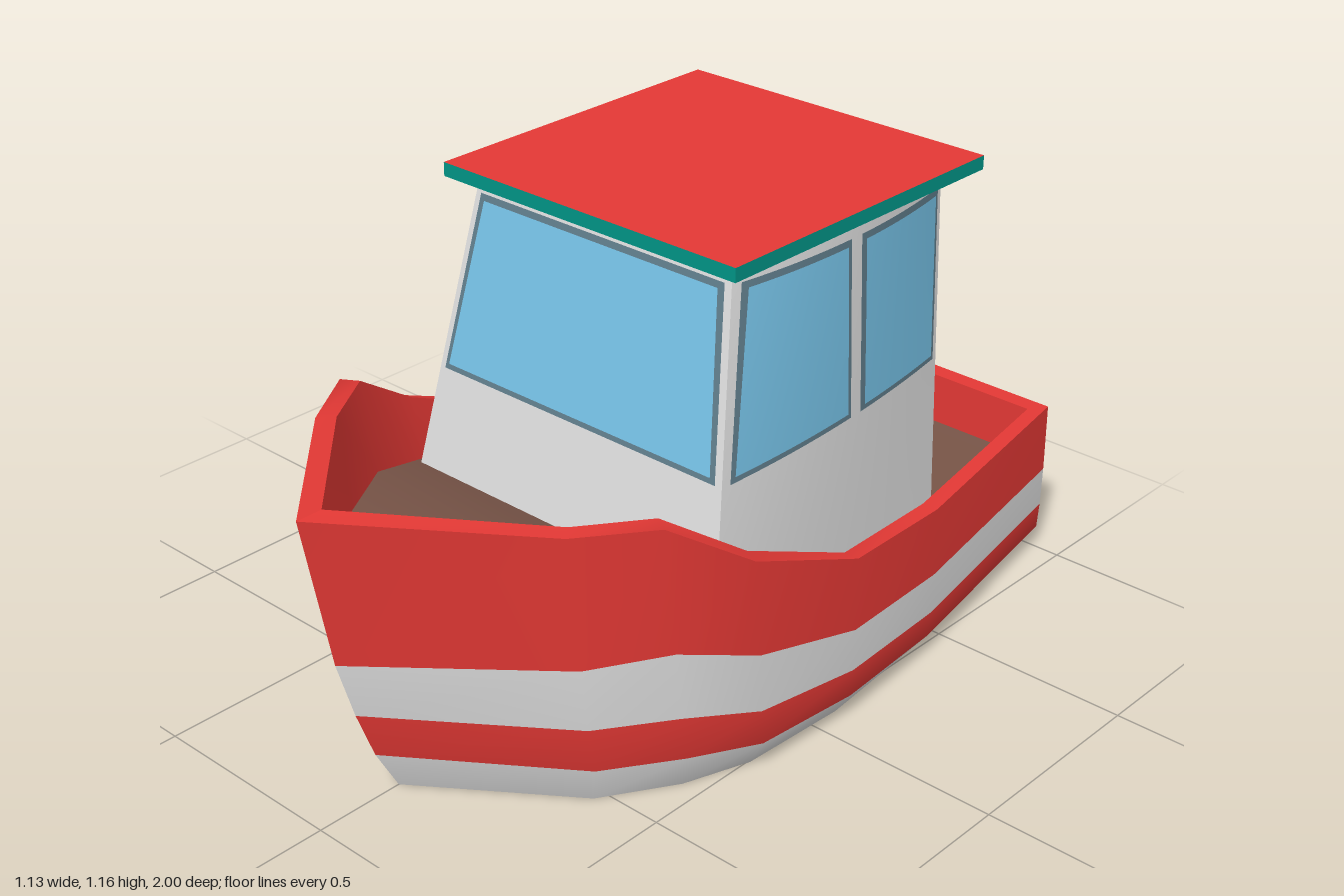
import * as THREE from 'three';

const paint = (name, color) => Object.assign(new THREE.MeshStandardMaterial({ color }), { name });

export function createModel() {
  const model = new THREE.Group();
  model.name = 'fishingBoat';
  const red = paint('hull red', 0xe53935);
  const white = paint('cabin white', 0xdedede);
  const teal = paint('roof edge teal', 0x009688);
  const glass = paint('window glass', 0x78c5ea);
  const trim = paint('window frame', 0x607d8b);
  const wood = paint('deck brown', 0x795548);

  // Surface through rows of points; one material group per strip between rows
  function grid(rows, flip = false) {
    const n = rows[0].length, index = [];
    const geo = new THREE.BufferGeometry();
    geo.setAttribute('position', new THREE.Float32BufferAttribute(rows.flat(2), 3));
    for (let i = 0; i < rows.length - 1; i++) {
      geo.addGroup(index.length, (n - 1) * 6, i);
      for (let j = 0; j < n - 1; j++) {
        const a = i * n + j, b = a + 1, c = a + n, d = c + 1;
        index.push(...(flip ? [a, d, b, a, c, d] : [a, b, d, a, d, c]));
      }
    }
    geo.setIndex(index);
    geo.computeVertexNormals();
    return geo;
  }
  function add(name, geo, material, parent = model) {
    const mesh = new THREE.Mesh(geo, material);
    mesh.name = name;
    parent.add(mesh);
    return mesh;
  }
  const mirror = row => row.map(([x, y, z]) => [-x, y, z]);
  const across = row => [[-row[0][0], row[0][1], row[0][2]], row[0]];

  // Hull stations, stern to bow: top z, half width, height; bottom z, half width;
  // share of the height where the upper red band ends
  const stations = [
    [-1, 0.435, 0.40, -1, 0.39, 0.565],
    [-0.4, 0.54, 0.40, -0.4, 0.48, 0.57],
    [-0.08, 0.563, 0.42, -0.08, 0.52, 0.565],
    [0.26, 0.557, 0.56, 0.2, 0.505, 0.575],
    [0.47, 0.492, 0.70, 0.36, 0.45, 0.555],
    [0.635, 0.38, 0.705, 0.53, 0.345, 0.535],
    [1, 0, 0.75, 0.78, 0, 0.505],
  ];
  // Levels: height share, width blend and rake blend between bottom and top
  const levels = [[1, 1, 1], [0.55, 1.05, 0.68], [0.31, 1.02, 0.48], [0.145, 0.93, 0.27], [0, 0, 0]];
  const mix = THREE.MathUtils.lerp;
  const hullRows = levels.map(([h, w, r], i) => stations.map(([z, x, y, zb, xb, band]) =>
    [mix(xb, x, w), y * (i === 1 ? band : h), mix(zb, z, r)]));

  // Inner edge of the rim (z, half width) and edge of the deck (z, half width, height)
  const innerRow = [[-0.955, 0.405], [-0.4, 0.5], [-0.08, 0.525], [0.24, 0.515],
    [0.445, 0.452], [0.6, 0.35], [0.935, 0]].map(([z, x], i) => [x, stations[i][2], z]);
  const deckRow = [[-0.955, 0.405, 0.27], [-0.4, 0.49, 0.27], [-0.08, 0.505, 0.295], [0.24, 0.485, 0.41],
    [0.44, 0.415, 0.48], [0.62, 0.295, 0.5], [0.825, 0, 0.51]].map(([z, x, y]) => [x, y, z]);

  const hull = new THREE.Group();
  hull.name = 'hull';
  model.add(hull);
  const bands = [red, white, red, white];
  for (const [side, flip] of [['left', false], ['right', true]]) {
    const place = row => flip ? mirror(row) : row;
    add(side + 'HullSide', grid(hullRows.map(place), flip), bands, hull);
    add(side + 'Rim', grid([innerRow, hullRows[0]].map(place), flip), red, hull);
    add(side + 'Bulwark', grid([deckRow, innerRow].map(place), flip), red, hull);
  }
  add('transom', grid(hullRows.map(across)), bands, hull);
  add('sternRim', grid([innerRow, hullRows[0]].map(across)), red, hull);
  add('sternBulwark', grid([deckRow, innerRow].map(across)), red, hull);
  add('hullBottom', grid([hullRows[4], mirror(hullRows[4])]), white, hull);
  add('deck', grid([mirror(deckRow), deckRow]), wood, hull);

  // Cabin: tapering, bowed side walls and a raked front
  const cabin = new THREE.Group();
  cabin.name = 'cabin';
  model.add(cabin);
  const top = 1.127, base = 0.27, backZ = -0.59;
  const t = y => (y - base) / (top - base);
  const frontZ = y => mix(0.3, 0.133, t(y));
  const frontX = y => mix(0.478, 0.37, t(y));
  const backX = y => mix(0.39, 0.358, t(y));
  const bulge = y => mix(0.012, 0.038, t(y));
  const sideX = (z, y) => {
    const s = (z - backZ) / (frontZ(y) - backZ);
    return mix(backX(y), frontX(y), s) + bulge(y) * 4 * s * (1 - s);
  };

  // Each wall maps (u, height, offset outward) to a point
  const walls = {
    left: (z, y, o) => [sideX(z, y) + o, y, z],
    right: (z, y, o) => [-sideX(z, y) - o, y, z],
    front: (x, y, o) => [x, y, frontZ(y) + o],
    back: (x, y, o) => [x, y, backZ - o],
  };
  // Four-sided patch on a wall between u0 and u1, given at top and bottom
  function patch(wall, [u0t, u1t, u0b, u1b, yt, yb], offset) {
    const n = 12, rows = [];
    for (let i = 0; i <= n; i++) {
      const row = [], v = i / n;
      for (let j = 0; j <= n; j++)
        row.push(walls[wall](mix(mix(u0t, u0b, v), mix(u1t, u1b, v), j / n), mix(yt, yb, v), offset));
      rows.push(row);
    }
    return grid(rows, wall === 'right');
  }
  function window(name, wall, q) {
    const s = 0.014 * Math.sign(q[1] - q[0]);
    add(name + 'Frame', patch(wall, q, 0.003), trim, cabin);
    add(name + 'Glass', patch(wall, [q[0] + s, q[1] - s, q[2] + s, q[3] - s, q[4] - 0.014, q[5] + 0.014], 0.006), glass, cabin);
  }

  const winTop = 1.088, winBottom = 0.668;
  for (const side of ['left', 'right']) {
    add(side + 'Wall', patch(side, [backZ, frontZ(top), backZ, frontZ(base), top, base], 0), white, cabin);
    window(side + 'FrontWindow', side, [-0.21, 0.118, -0.21, 0.2, winTop, winBottom]);
    window(side + 'RearWindow', side, [-0.57, -0.247, -0.57, -0.247, winTop, winBottom]);
  }
  for (const [end, half, sign] of [['front', frontX, 1], ['back', backX, -1]]) {
    const span = (y, gap) => [sign * (half(y) - gap), -sign * (half(y) - gap)];
    add(end + 'Wall', patch(end, [...span(top, 0), ...span(base, 0), top, base], 0), white, cabin);
    window(end + 'Window', end, [...span(winTop, 0.017), ...span(winBottom, 0.017), winTop, winBottom]);
  }

  // Flat roof: red on top, teal edges and underside
  const roof = add('roof', new THREE.BoxGeometry(0.852, 0.033, 0.845),
    [teal, teal, red, teal, teal, teal]);
  roof.position.set(0, 1.1395, -0.2325);

  return model;
}
